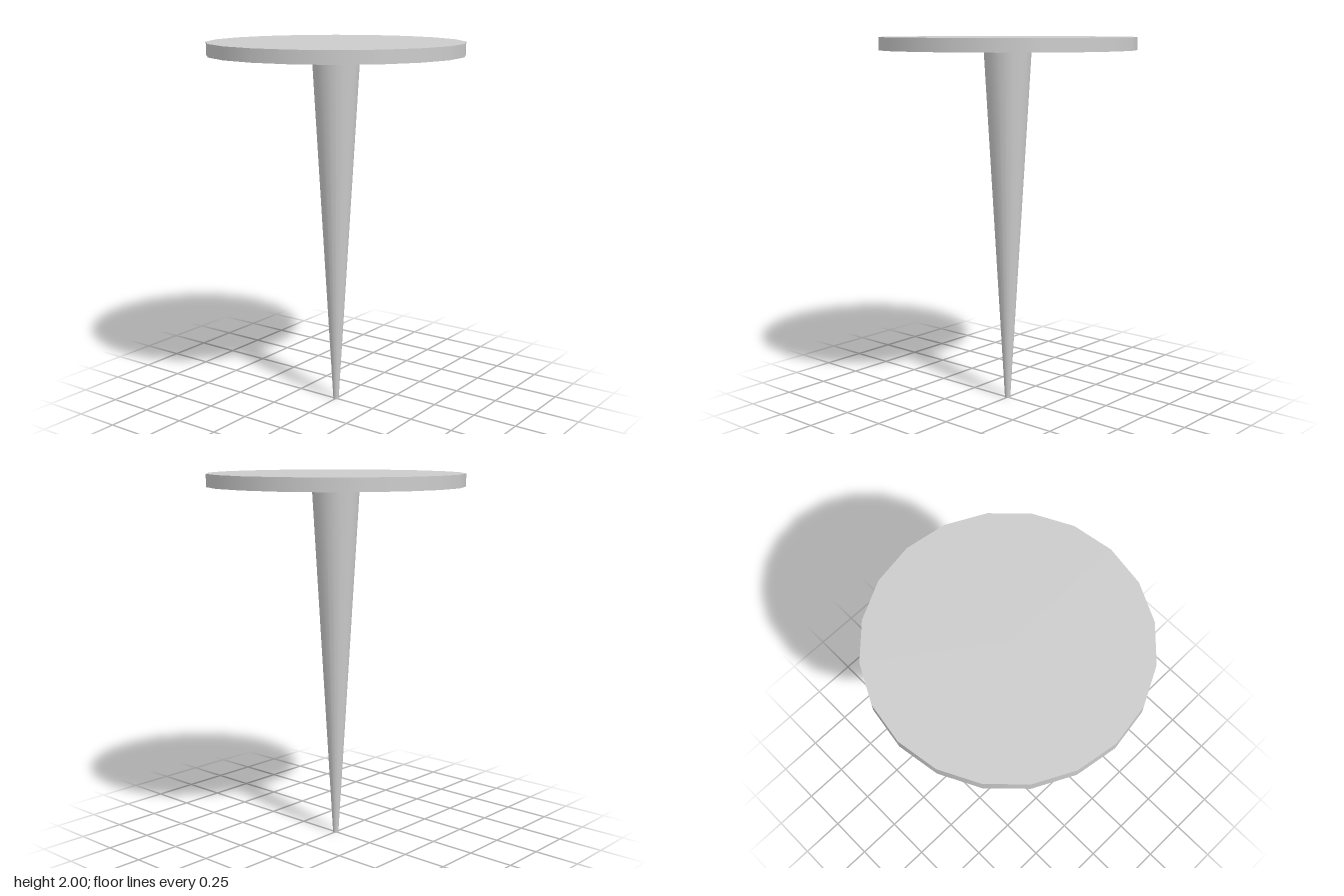
import * as THREE from 'three';

const SIDES = 20;
const TOP_BASE = 1.932; // underside of the table top

export function createModel() {
  const group = new THREE.Group();
  const material = new THREE.MeshStandardMaterial({ color: 0xcccccc });

  const addRound = (name, rTop, rBottom, y0, y1) => {
    const mesh = new THREE.Mesh(new THREE.CylinderGeometry(rTop, rBottom, y1 - y0, SIDES), material);
    mesh.name = name;
    mesh.position.y = (y0 + y1) / 2;
    group.add(mesh);
  };

  // Thin round top
  addRound('tableTop', 0.684, 0.684, TOP_BASE, 2);
  // Single leg tapering to a narrow foot
  addRound('taperedLeg', 0.128, 0.015, 0, TOP_BASE);

  return group;
}
